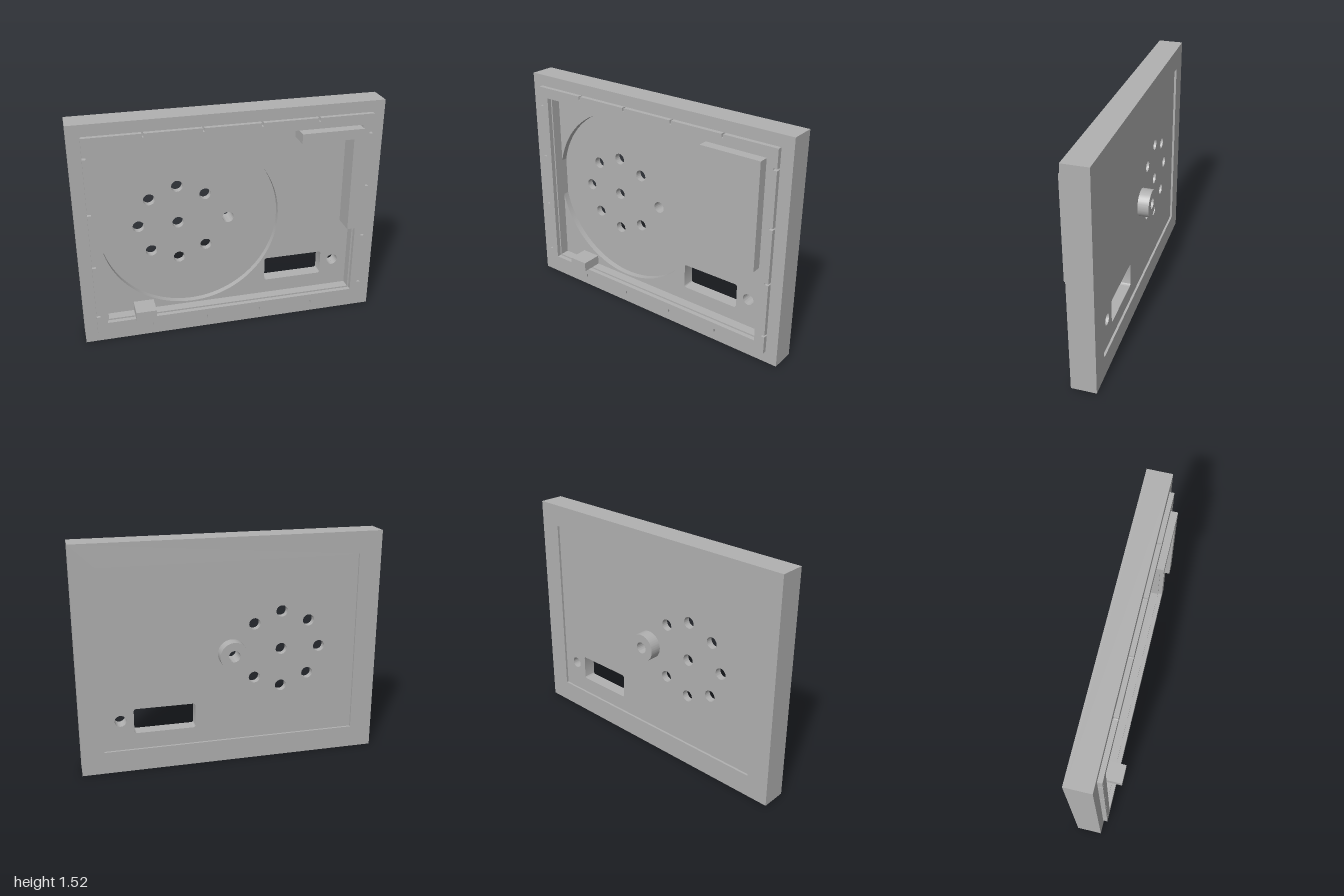
import * as THREE from 'three';
import { toCreasedNormals } from 'three/addons/utils/BufferGeometryUtils.js';

const MID = 0.7625; // height of the panel's centre

// Rectangle by edges, with optional corner radius
function rect(x0, x1, y0, y1, r = 0, Type = THREE.Shape) {
  const s = new Type();
  if (!r) {
    s.moveTo(x0, y0); s.lineTo(x1, y0); s.lineTo(x1, y1); s.lineTo(x0, y1); s.closePath();
    return s;
  }
  s.moveTo(x0 + r, y0);
  s.lineTo(x1 - r, y0); s.absarc(x1 - r, y0 + r, r, -Math.PI / 2, 0);
  s.lineTo(x1, y1 - r); s.absarc(x1 - r, y1 - r, r, 0, Math.PI / 2);
  s.lineTo(x0 + r, y1); s.absarc(x0 + r, y1 - r, r, Math.PI / 2, Math.PI);
  s.lineTo(x0, y0 + r); s.absarc(x0 + r, y0 + r, r, Math.PI, Math.PI * 1.5);
  return s;
}

const circle = (x, y, r, Type = THREE.Path) => new Type().absarc(x, y, r, 0, Math.PI * 2);

// Outline of the front lip, with small round-ended slots cut in from its outer edge
function lipOutline() {
  const hw = 0.92, hh = 0.6825, w = 0.006, depth = 0.025;
  const along = [-0.555, -0.185, 0.185, 0.555];
  const s = new THREE.Shape();
  const sides = [[hw, hh], [hh, hw], [hw, hh], [hh, hw]];
  sides.forEach(([half, off], i) => {
    const a = i * Math.PI / 2, c = Math.cos(a), n = Math.sin(a);
    // u runs along the side, v points inward
    const put = (u, v) => {
      const y = v - off, px = u * c - y * n, py = u * n + y * c + MID;
      if (s.curves.length || s.started) s.lineTo(px, py);
      else { s.moveTo(px, py); s.started = true; }
    };
    put(-half, 0);
    for (const u of along) {
      put(u - w, 0);
      for (let k = 0; k <= 6; k++) {
        const t = Math.PI - k * Math.PI / 6;
        put(u + w * Math.cos(t), depth - w + w * Math.sin(t));
      }
      put(u + w, 0);
    }
  });
  s.closePath();
  return s;
}

export function createModel() {
  const group = new THREE.Group();
  const grey = new THREE.MeshStandardMaterial({ color: 0xb0b0b0 });
  grey.name = 'grey';

  // Extrude a shape between two depths
  function slab(name, shape, z0, z1, holes = [], curveSegments = 32) {
    shape.holes.push(...holes);
    const g = new THREE.ExtrudeGeometry(shape, { depth: z1 - z0, bevelEnabled: false, curveSegments });
    g.translate(0, 0, z0);
    const mesh = new THREE.Mesh(toCreasedNormals(g, 0.5), grey);
    mesh.name = name;
    group.add(mesh);
  }

  const wideOpening = () => rect(-0.85, 0.85, 0.15, 1.375, 0, THREE.Path);
  const window_ = () => rect(0.245, 0.65, 0.26, 0.43, 0.015, THREE.Path);
  const sideHole = () => circle(0.737, 0.355, 0.038);

  // Frame, with a wider opening at the back and in the front lip
  slab('frame', rect(-1, 1, 0, 1.52), -0.075, 0.075, [rect(-0.84, 0.84, 0.16, 1.365, 0, THREE.Path)]);
  slab('backFrame', rect(-1, 1, 0, 1.52), -0.09, -0.075, [wideOpening()]);
  slab('frontLip', lipOutline(), 0.075, 0.105, [wideOpening()]);

  // Back panel with a ring of holes, a window and a side hole
  const ring = [[-0.337, 0.763], [-0.337, 1.02], [-0.337, 0.505], [-0.597, 0.763], [-0.002, 0.76],
    [-0.52, 0.946], [-0.155, 0.946], [-0.52, 0.578], [-0.155, 0.578]];
  slab('backPanel', rect(-0.84, 0.84, 0.16, 1.365), -0.075, -0.03,
    [...ring.map(([x, y]) => circle(x, y, 0.038)), window_(), sideHole()]);

  // Inner floor around the large round recess
  slab('innerFloor', rect(-0.87, 0.87, 0.13, 1.395), -0.03, 0.01,
    [circle(-0.263, 0.765, 0.592), window_(), sideHole()], 96);

  // Blocks standing on the floor
  const bracket = new THREE.Shape([[0.43, 1.3], [0.775, 1.3], [0.775, 0.66], [0.84, 0.66], [0.84, 1.365], [0.43, 1.365]]
    .map(([x, y]) => new THREE.Vector2(x, y)));
  slab('cornerBracket', bracket, 0.01, 0.15);
  slab('supportBlock', rect(-0.665, -0.53, 0.16, 0.225), 0.01, 0.15);

  // Hollow boss on the back
  slab('backBoss', circle(-0.002, 0.76, 0.093, THREE.Shape), -0.15, -0.075, [circle(-0.002, 0.76, 0.038)], 48);

  return group;
}
